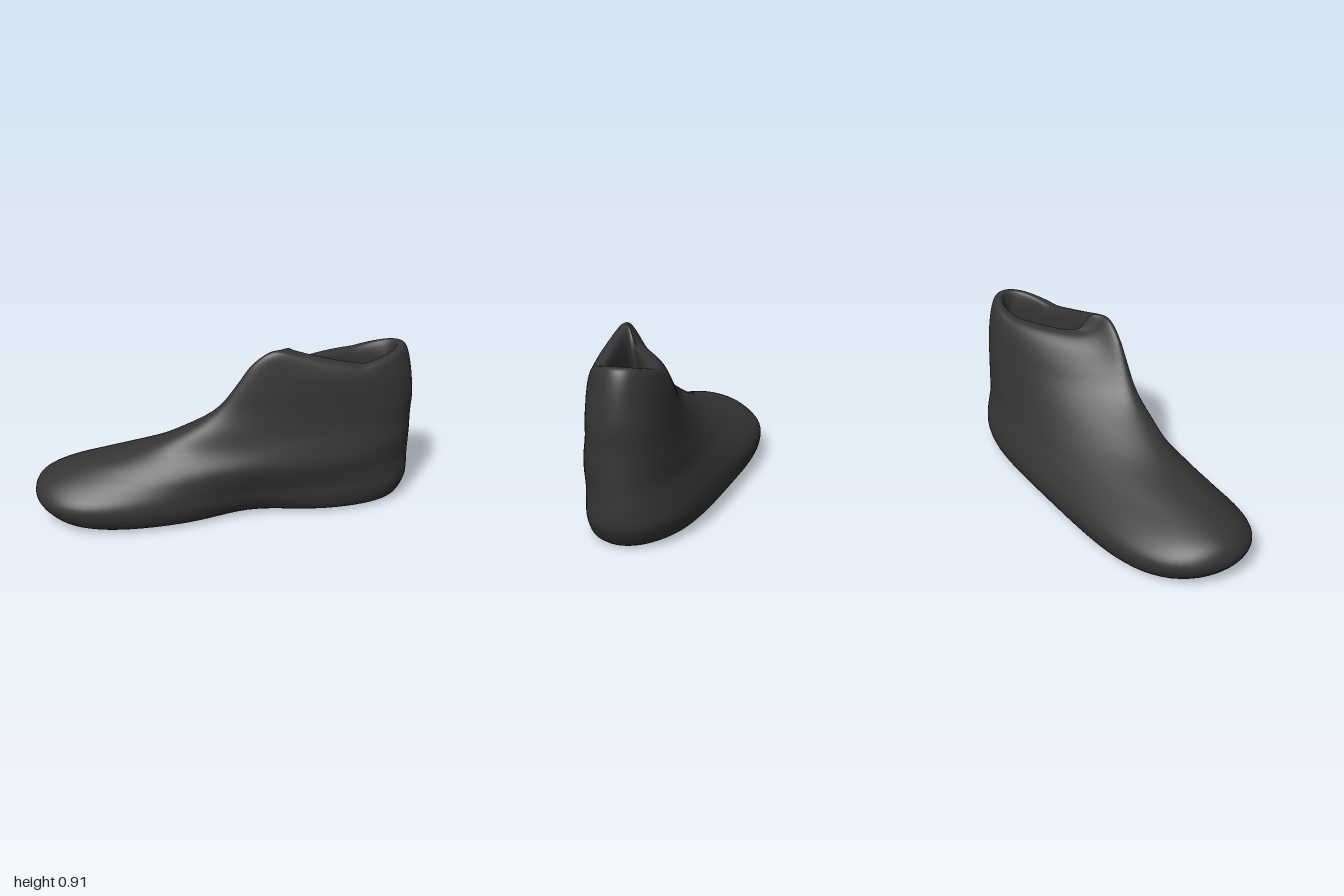
import * as THREE from 'three';

const SEG = 80, SUB = 4;

// Level outlines: y, toe x, heel x, centre z at toe / middle / heel,
// half width at ball / waist / heel
const OUTER = [
  [0.000, -0.83, 0.91, 0.03, -0.01, 0.025, 0.265, 0.240, 0.195],
  [0.030, -0.92, 0.95, 0.03, -0.01, 0.022, 0.320, 0.287, 0.235],
  [0.100, -0.99, 0.988, 0.035, -0.01, 0.02, 0.347, 0.314, 0.253],
  [0.165, -1.00, 0.995, 0.035, -0.004, 0.02, 0.336, 0.310, 0.250],
  [0.235, -0.95, 0.995, 0.03, 0.02, 0.02, 0.282, 0.295, 0.240],
  [0.300, -0.78, 0.995, 0.045, 0.043, 0.025, 0.230, 0.275, 0.228],
  [0.380, -0.45, 0.995, 0.085, 0.047, 0.03, 0.198, 0.247, 0.212],
  [0.480, -0.23, 0.995, 0.13, 0.05, 0.03, 0.170, 0.221, 0.193],
  [0.580, -0.07, 1.00, 0.16, 0.057, 0.03, 0.148, 0.208, 0.180],
  [0.680, 0.03, 0.99, 0.18, 0.066, 0.025, 0.135, 0.198, 0.166],
  [0.750, 0.10, 0.975, 0.19, 0.073, 0.02, 0.122, 0.182, 0.150],
];
// Collar crest, then down the inside of the opening
const INNER = [
  [0.792, 0.18, 0.955, 0.198, 0.074, 0.02, 0.108, 0.158, 0.132],
  [0.802, 0.25, 0.930, 0.195, 0.072, 0.02, 0.087, 0.128, 0.112],
  [0.790, 0.32, 0.905, 0.155, 0.070, 0.022, 0.062, 0.095, 0.086],
  [0.700, 0.35, 0.890, 0.125, 0.068, 0.025, 0.058, 0.082, 0.074],
  [0.500, 0.28, 0.890, 0.110, 0.060, 0.030, 0.070, 0.100, 0.090],
  [0.250, 0.18, 0.890, 0.060, 0.040, 0.030, 0.095, 0.125, 0.108],
  [0.140, 0.25, 0.840, 0.040, 0.030, 0.030, 0.070, 0.090, 0.080],
];

// Smooth curve through three values at three stations
const quad = (u, [a, b, c], [p, q, r]) =>
  p * (u - b) * (u - c) / ((a - b) * (a - c)) +
  q * (u - a) * (u - c) / ((b - a) * (b - c)) +
  r * (u - a) * (u - b) / ((c - a) * (c - b));

const round = (u) => 2 * Math.sqrt(Math.max(0, u * (1 - u)));

function ring([y, x0, x1, zt, zm, zh, hb, hw, hh]) {
  const k = Math.max(0, (y - 0.5) / 0.3) ** 2; // collar tilt grows towards the top
  const stations = [0.25, 0.55, 0.85];
  const widths = [hb, hw, hh].map((w, i) => w / round(stations[i]));
  return Array.from({ length: SEG }, (_, j) => {
    const a = (j / SEG) * Math.PI * 2, u = (1 - Math.cos(a)) / 2;
    const side = Math.sign(Math.sin(a));
    let half = round(u) * quad(u, stations, widths);
    // Arch hollow on the inner side, fading out above the sole
    if (side > 0) {
      half -= 0.075 * Math.exp(-(((u - 0.55) / 0.14) ** 2)) * Math.max(0, 1 - y / 0.4) ** 1.5;
    }
    const z = quad(u, [0, 0.55, 1], [zt, zm, zh]) + side * half;
    // The front tab falls gently along the inner rim, steeply along the outer one
    const tab = 0.105 * (side > 0 ? Math.max(0, 1 - u / 0.65) ** 1.2 : Math.exp(-u / 0.05));
    const back = 0.05 * Math.max(0, (u - 0.65) / 0.35) ** 1.2;
    return new THREE.Vector3(x0 + (x1 - x0) * u, y + k * (tab + back), z);
  });
}

// Catmull-Rom blend between the level outlines
function blendRows(rows) {
  const out = [];
  const row = (i) => rows[Math.min(rows.length - 1, Math.max(0, i))];
  for (let i = 0; i < rows.length - 1; i++) {
    for (let s = 0; s < SUB; s++) {
      const t = s / SUB;
      out.push(row(i).map((p1, c) => {
        const p0 = row(i - 1)[c], p2 = row(i + 1)[c], p3 = row(i + 2)[c];
        return p1 + 0.5 * t * (p2 - p0 + t * (2 * p0 - 5 * p1 + 4 * p2 - p3 +
          t * (3 * (p1 - p2) + p3 - p0)));
      }));
    }
  }
  out.push(rows[rows.length - 1]);
  return out;
}

function build(points, index) {
  const g = new THREE.BufferGeometry().setFromPoints(points);
  g.setIndex(index);
  g.computeVertexNormals();
  return g;
}

function skin(rings) {
  const index = [];
  for (let i = 0; i < rings.length - 1; i++) {
    for (let j = 0; j < SEG; j++) {
      const a = i * SEG + j, b = i * SEG + (j + 1) % SEG;
      index.push(a, b, b + SEG, a, b + SEG, a + SEG);
    }
  }
  return build(rings.flat(), index);
}

// Flat strip closing a ring, joining mirrored stations of its two sides
function cap(points, up) {
  const index = [];
  for (let j = 0; j < SEG / 2; j++) {
    const a = j, b = j + 1, c = (SEG - j - 1) % SEG, d = (SEG - j) % SEG;
    if (up) index.push(a, b, c, a, c, d);
    else index.push(a, c, b, a, d, c);
  }
  return build(points, index);
}

export function createModel() {
  const group = new THREE.Group();
  group.name = 'ankleShoe';
  const material = new THREE.MeshStandardMaterial({ color: 0x353535 });
  const rings = blendRows([...OUTER, ...INNER]).map(ring);
  const add = (name, geometry) => {
    const mesh = new THREE.Mesh(geometry, material);
    mesh.name = name;
    group.add(mesh);
  };
  // Upper with rolled collar and lining in one smooth skin
  add('upper', skin(rings));
  add('sole', cap(rings[0], false));
  add('insole', cap(rings[rings.length - 1], true));
  return group;
}
